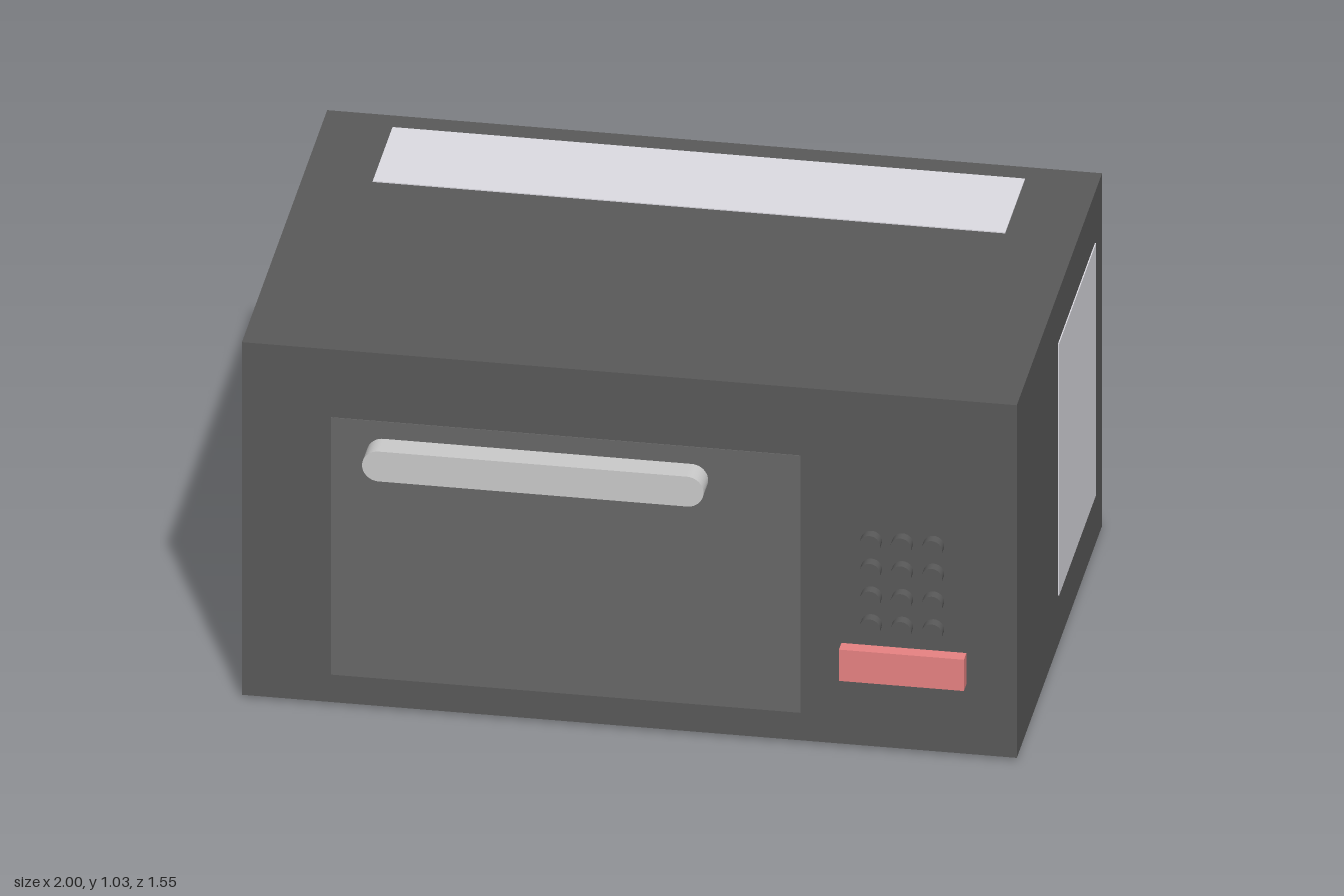
import * as THREE from 'three';

const mat = (color) => new THREE.MeshStandardMaterial({ color });

export function createModel() {
  const model = new THREE.Group();
  const shell = mat(0x5a5a5a), dark = mat(0x484848), vent = mat(0xdddce3);
  const grey = mat(0xcccccc), red = mat(0xe88383), glass = mat(0x686868);

  function add(name, geometry, material, x = 0, y = 0, z = 0) {
    const mesh = new THREE.Mesh(geometry, material);
    mesh.name = name;
    mesh.position.set(x, y, z);
    model.add(mesh);
    return mesh;
  }
  // Box given by its minimum and maximum corners
  function box(name, material, a, b) {
    const size = a.map((v, i) => b[i] - v);
    const mid = a.map((v, i) => (b[i] + v) / 2);
    return add(name, new THREE.BoxGeometry(...size), material, ...mid);
  }

  // Oven casing and its flush panels
  box('casing', shell, [-1, 0.01, -0.567], [0.997, 1.025, 0.703]);
  box('doorWindow', glass, [-0.77, 0.09, 0.69], [0.44, 0.83, 0.705]);
  box('topVent', vent, [-0.82, 1.01, -0.5], [0.81, 1.028, -0.205]);
  box('sideVent', vent, [0.98, 0.155, -0.46], [1, 0.88, 0.09]);

  // Rounded-end door handle
  const r = 0.043, half = 0.44 - r;
  const bar = new THREE.Shape();
  bar.absarc(half, 0, r, -Math.PI / 2, Math.PI / 2, false);
  bar.absarc(-half, 0, r, Math.PI / 2, Math.PI * 1.5, false);
  bar.closePath();
  add('doorHandle', new THREE.ExtrudeGeometry(bar, { depth: 0.072, bevelEnabled: false, curveSegments: 16 }),
    grey, -0.238, 0.738, 0.703);

  // Keypad
  const key = new THREE.CylinderGeometry(0.027, 0.027, 0.029, 24).rotateX(Math.PI / 2);
  for (let row = 0; row < 4; row++) {
    for (let col = 0; col < 3; col++) {
      add('keypadButton', key, shell, 0.625 + col * 0.08, 0.61 - row * 0.08, 0.731);
    }
  }
  box('openButton', red, [0.545, 0.21, 0.7], [0.867, 0.3, 0.74]);

  // Power cord: out of the back, down, then sideways into the plug
  const cord = [[-0.185, 0.195, -0.56], [-0.185, 0.195, -0.75], [-0.185, 0.014, -0.75], [-0.37, 0.014, -0.75]]
    .map((p) => new THREE.Vector3(...p));
  const up = new THREE.Vector3(0, 1, 0);
  for (let i = 0; i < 3; i++) {
    const dir = cord[i + 1].clone().sub(cord[i]);
    const mid = cord[i].clone().addScaledVector(dir, 0.5);
    const piece = add('powerCord', new THREE.CylinderGeometry(0.013, 0.013, dir.length(), 16), dark, ...mid.toArray());
    piece.quaternion.setFromUnitVectors(up, dir.normalize());
    if (i) add('cordBend', new THREE.SphereGeometry(0.013, 16, 10), dark, ...cord[i].toArray());
  }
  box('plug', dark, [-0.42, 0.01, -0.775], [-0.31, 0.045, -0.725]);

  return model;
}
